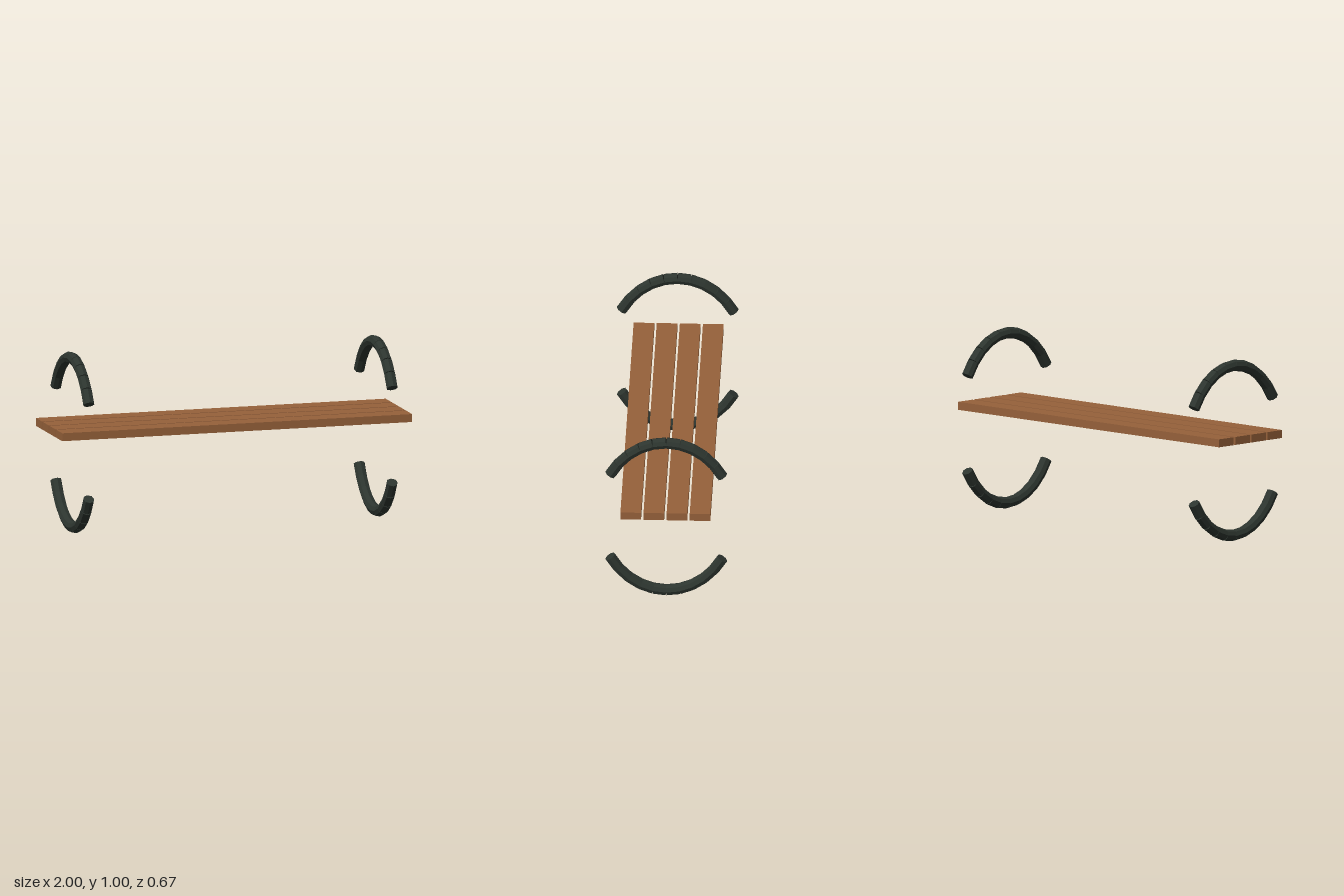
import * as THREE from 'three';

export function createModel() {
  const bench = new THREE.Group();
  bench.name = 'bench';

  const wood = new THREE.MeshStandardMaterial({ color: 0x96613a });
  wood.name = 'brown wood';
  const iron = new THREE.MeshStandardMaterial({ color: 0x2d352f, flatShading: true });
  iron.name = 'dark green iron';

  // Four seat planks
  const plankGeometry = new THREE.BoxGeometry(2, 0.044, 0.113);
  for (let i = 0; i < 4; i++) {
    const plank = new THREE.Mesh(plankGeometry, wood);
    plank.name = 'seatPlank' + (i + 1);
    plank.position.set(0, 0.578, (i - 1.5) * 0.1263);
    bench.add(plank);
  }

  // Point on the ellipse that the side hoops follow, angle measured from the top
  const hoopPoint = (angle, side) =>
    new THREE.Vector3(0, 0.5 + side * 0.469 * Math.cos(angle), 0.37 * Math.sin(angle));

  // Arc made of ten straight octagonal rods
  const up = new THREE.Vector3(0, 1, 0);
  const step = THREE.MathUtils.degToRad(11.2);
  function makeArc(name, x, side) {
    const arc = new THREE.Group();
    arc.name = name;
    arc.position.x = x;
    for (let i = -5; i < 5; i++) {
      const a = hoopPoint(i * step, side);
      const b = hoopPoint((i + 1) * step, side);
      const rod = new THREE.Mesh(
        new THREE.CylinderGeometry(0.0315, 0.0315, a.distanceTo(b), 8), iron);
      rod.name = 'rod';
      rod.position.copy(a).lerp(b, 0.5);
      rod.quaternion.setFromUnitVectors(up, b.sub(a).normalize());
      arc.add(rod);
    }
    bench.add(arc);
  }

  // Upper and lower arcs at both ends
  for (const [label, x] of [['left', 0.867], ['right', -0.867]]) {
    makeArc(label + 'UpperArc', x, 1);
    makeArc(label + 'LowerArc', x, -1);
  }
  return bench;
}
